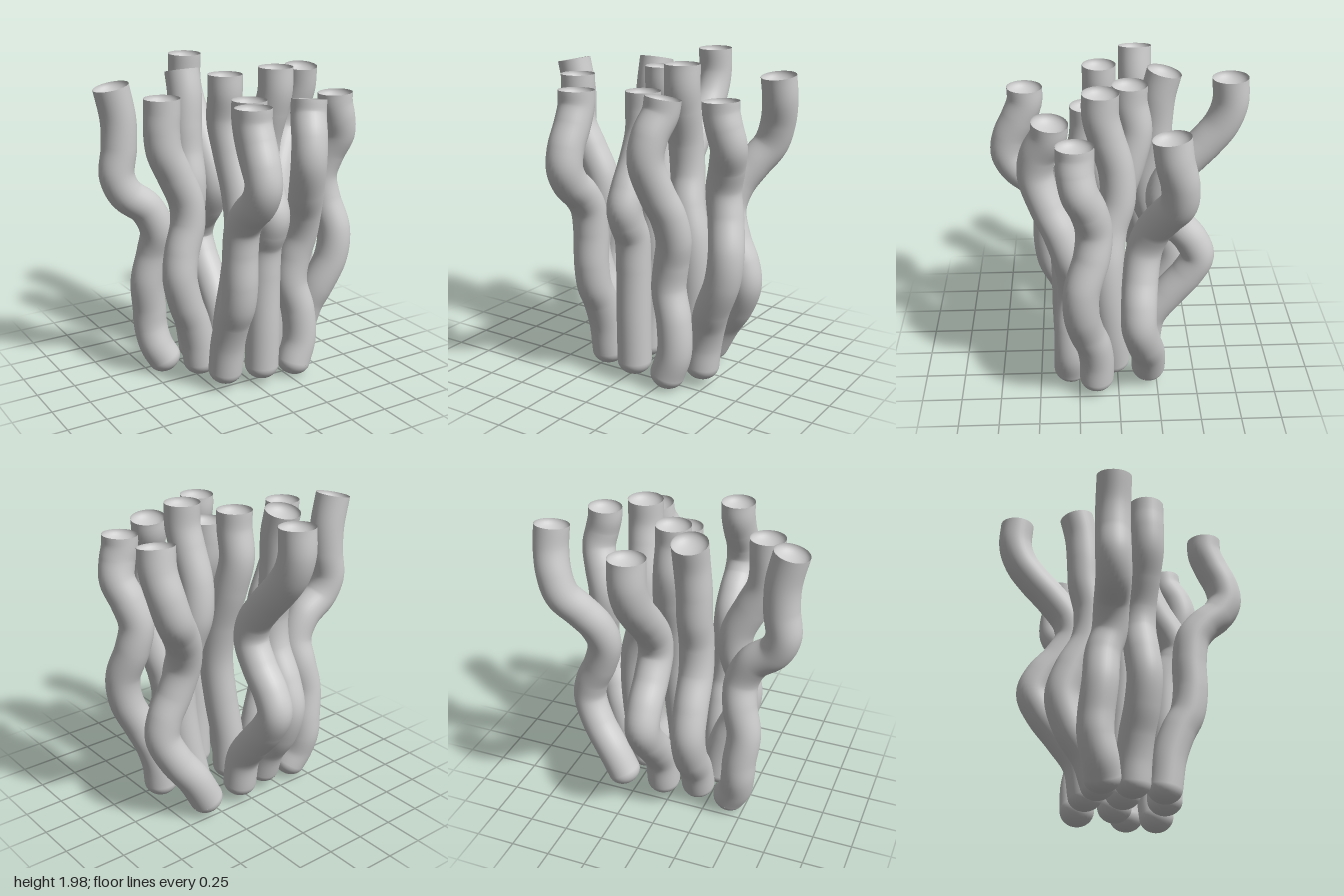
import * as THREE from 'three';

const RADIUS = 0.108;
const material = new THREE.MeshStandardMaterial({ color: 0xcccccc, side: THREE.DoubleSide });

// Dome closing a tube, bulging along the given direction
function makeDome(name, position, direction, depth) {
  const geometry = new THREE.SphereGeometry(RADIUS, 32, 10, 0, Math.PI * 2, 0, Math.PI / 2);
  geometry.scale(1, depth, 1);
  const dome = new THREE.Mesh(geometry, material);
  dome.name = name;
  dome.position.copy(position);
  dome.quaternion.setFromUnitVectors(new THREE.Vector3(0, 1, 0), direction);
  return dome;
}

// One wavy tube, listed from base to rim: rounded at the bottom, dished at the top
function makeTube(name, points) {
  const curve = new THREE.CatmullRomCurve3(points.map((p) => new THREE.Vector3(...p)));
  const tube = new THREE.Group();
  tube.name = name;

  const wall = new THREE.Mesh(new THREE.TubeGeometry(curve, 90, RADIUS, 32), material);
  wall.name = 'tubeWall';

  tube.add(
    wall,
    makeDome('roundedEnd', curve.getPoint(0), curve.getTangent(0).negate(), 0.85),
    makeDome('rimDish', curve.getPoint(1), curve.getTangent(1).negate(), 0.6),
  );
  return tube;
}

export function createModel() {
  const model = new THREE.Group();
  model.name = 'tubeCluster';
  const add = (name, points) => model.add(makeTube(name, points));

  // Back row
  add('backTube', [
    [0.05, 0.14, -0.185], [0.05, 0.33, -0.22], [0.05, 0.5, -0.34], [0.05, 0.65, -0.46],
    [0.05, 0.78, -0.52], [0.05, 0.9, -0.475], [0.05, 1.03, -0.37], [0.05, 1.18, -0.29],
    [0.05, 1.3, -0.31], [0.05, 1.45, -0.42], [0.05, 1.58, -0.54], [0.05, 1.7, -0.63],
    [0.05, 1.83, -0.675], [0.05, 1.99, -0.67],
  ]);
  add('backRightTube', [
    [-0.18, 0.14, -0.145], [-0.18, 0.3, -0.2], [-0.185, 0.47, -0.31], [-0.19, 0.67, -0.37],
    [-0.19, 0.85, -0.32], [-0.185, 1.05, -0.22], [-0.18, 1.25, -0.2], [-0.18, 1.45, -0.24],
    [-0.18, 1.62, -0.25], [-0.17, 1.8, -0.265], [-0.17, 1.95, -0.3],
  ]);
  add('backLeftTube', [
    [0.335, 0.13, -0.195], [0.42, 0.29, -0.185], [0.53, 0.45, -0.15], [0.6, 0.62, -0.115],
    [0.58, 0.75, -0.115], [0.51, 0.9, -0.125], [0.46, 1.08, -0.15], [0.49, 1.23, -0.2],
    [0.565, 1.36, -0.265], [0.645, 1.48, -0.325], [0.69, 1.62, -0.325], [0.715, 1.77, -0.29],
    [0.71, 1.91, -0.27],
  ]);

  // Right side
  add('outerRightTube', [
    [-0.405, 0.11, -0.16], [-0.45, 0.2, -0.18], [-0.472, 0.33, -0.21], [-0.478, 0.45, -0.21],
    [-0.495, 0.65, -0.19], [-0.455, 0.85, -0.17], [-0.45, 1.0, -0.13], [-0.52, 1.15, -0.13],
    [-0.65, 1.26, -0.14], [-0.7, 1.38, -0.15], [-0.68, 1.55, -0.15], [-0.68, 1.72, -0.15],
    [-0.72, 1.92, -0.15],
  ]);
  add('innerRightTube', [
    [-0.25, 0.14, 0.045], [-0.27, 0.28, 0.05], [-0.31, 0.42, 0.06], [-0.37, 0.57, 0.08],
    [-0.41, 0.75, 0.09], [-0.39, 0.9, 0.08], [-0.34, 1.08, 0.07], [-0.35, 1.22, 0.07],
    [-0.43, 1.4, 0.08], [-0.5, 1.55, 0.09], [-0.515, 1.68, 0.09], [-0.51, 1.79, 0.09],
    [-0.51, 1.87, 0.09],
  ]);

  // Middle
  add('centreTube', [
    [-0.03, 0.14, 0.03], [-0.02, 0.35, 0.035], [0.02, 0.65, 0.055], [0.05, 0.95, 0.06],
    [0.055, 1.2, 0.01], [0.04, 1.45, -0.07], [0.02, 1.65, -0.11], [0.015, 1.83, -0.08],
    [0.015, 1.94, -0.08],
  ]);
  add('innerLeftTube', [
    [0.26, 0.14, 0.03], [0.31, 0.4, 0.05], [0.34, 0.7, 0.07], [0.33, 0.92, 0.07],
    [0.28, 1.12, 0.05], [0.25, 1.3, 0], [0.24, 1.5, 0.01], [0.255, 1.72, 0.07],
    [0.265, 1.85, 0.1], [0.265, 1.99, 0.1],
  ]);

  // Left side
  add('outerLeftTube', [
    [0.45, 0.14, 0.14], [0.465, 0.28, 0.14], [0.5, 0.42, 0.16], [0.55, 0.55, 0.2],
    [0.63, 0.74, 0.23], [0.65, 0.92, 0.225], [0.61, 1.12, 0.165], [0.585, 1.28, 0.15],
    [0.62, 1.43, 0.18], [0.655, 1.56, 0.23], [0.635, 1.67, 0.25], [0.613, 1.76, 0.25],
    [0.61, 1.825, 0.25],
  ]);

  // Front row
  add('frontCentreTube', [
    [0.055, 0.14, 0.305], [0.055, 0.4, 0.31], [0.055, 0.75, 0.31], [0.055, 0.95, 0.325],
    [0.055, 1.06, 0.38], [0.055, 1.15, 0.405], [0.055, 1.25, 0.365], [0.05, 1.4, 0.27],
    [0.045, 1.57, 0.19], [0.035, 1.7, 0.17], [0.035, 1.82, 0.17],
  ]);
  add('frontLeftTube', [
    [0.3, 0.105, 0.305], [0.345, 0.25, 0.3], [0.335, 0.45, 0.29], [0.285, 0.65, 0.27],
    [0.305, 0.82, 0.275], [0.335, 0.97, 0.3], [0.325, 1.13, 0.35], [0.29, 1.28, 0.42],
    [0.258, 1.48, 0.485], [0.272, 1.62, 0.465], [0.305, 1.75, 0.4], [0.315, 1.835, 0.39],
  ]);
  add('frontRightTube', [
    [-0.18, 0.14, 0.25], [-0.18, 0.33, 0.28], [-0.18, 0.5, 0.34], [-0.18, 0.62, 0.4],
    [-0.18, 0.77, 0.425], [-0.18, 0.97, 0.425], [-0.18, 1.13, 0.45], [-0.18, 1.23, 0.52],
    [-0.18, 1.32, 0.62], [-0.18, 1.42, 0.67], [-0.18, 1.53, 0.655], [-0.175, 1.66, 0.595],
    [-0.175, 1.77, 0.552], [-0.175, 1.86, 0.55],
  ]);

  return model;
}
